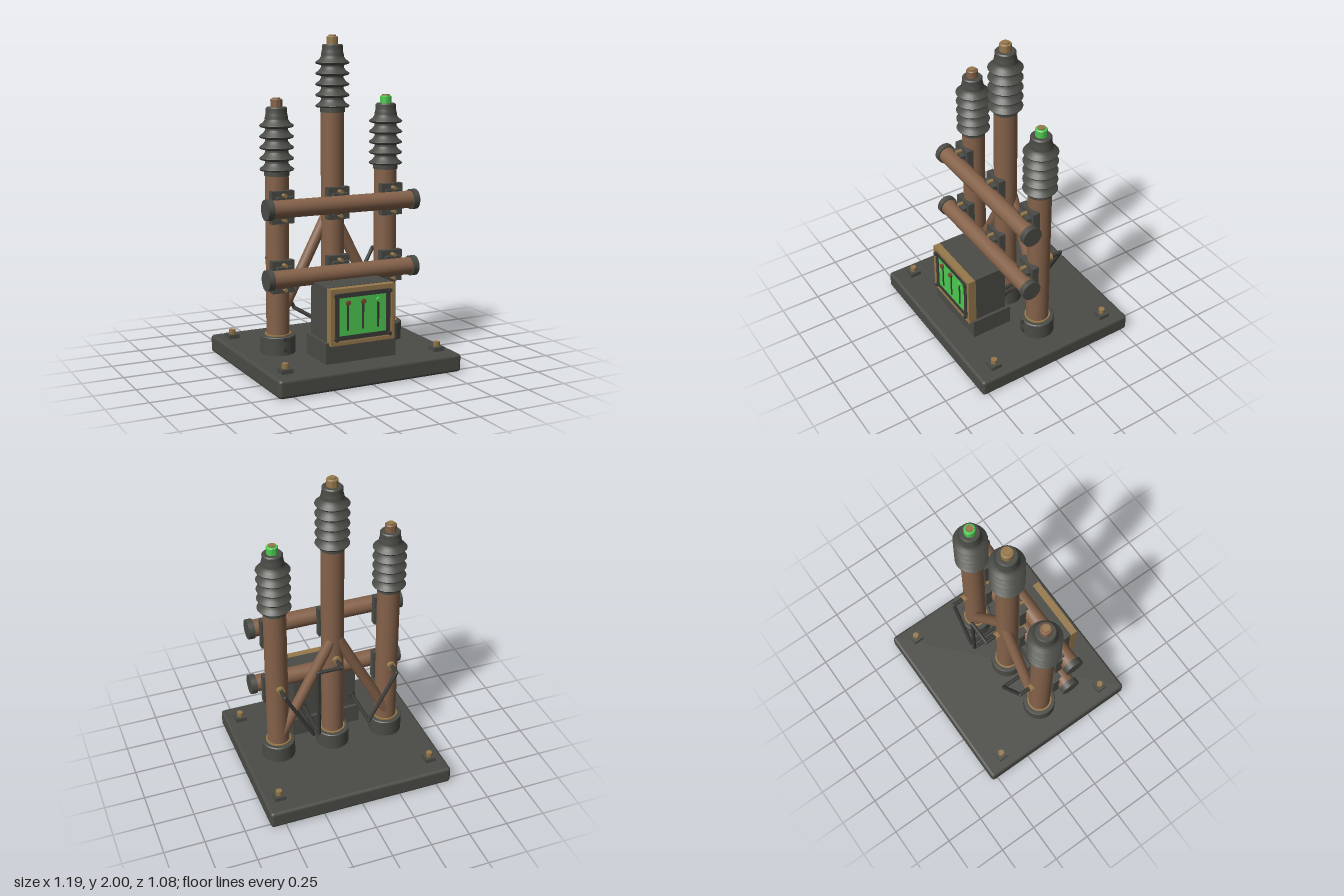
import * as THREE from 'three';
import { toCreasedNormals } from 'three/addons/utils/BufferGeometryUtils.js';
import { RoundedBoxGeometry } from 'three/addons/geometries/RoundedBoxGeometry.js';

const mat = (name, color) => {
  const m = new THREE.MeshStandardMaterial({ color });
  m.name = name;
  return m;
};

export function createModel() {
  const root = new THREE.Group();
  root.name = 'insulatorStation';
  const iron = mat('dark iron', 0x4b4b46);
  const copper = mat('copper brown', 0x85624a);
  const brass = mat('aged brass', 0x97794c);
  const green = mat('bright green', 0x4ecb50);
  const dark = mat('charcoal', 0x3a3a37);
  const rust = mat('rust red', 0x7a4a34);

  const add = (name, geo, material, x = 0, y = 0, z = 0, parent = root) => {
    const m = new THREE.Mesh(geo, material);
    m.name = name;
    m.position.set(x, y, z);
    parent.add(m);
    return m;
  };
  const box = (name, w, h, d, material, x, y, z, parent) =>
    add(name, new THREE.BoxGeometry(w, h, d), material, x, y, z, parent);
  // Cylinder between two points
  const rod = (name, a, b, r, material, sides = 24, parent = root) => {
    const p = new THREE.Vector3(...a), q = new THREE.Vector3(...b);
    const m = add(name, new THREE.CylinderGeometry(r, r, p.distanceTo(q), sides), material, 0, 0, 0, parent);
    m.position.copy(p).add(q).multiplyScalar(0.5);
    m.quaternion.setFromUnitVectors(new THREE.Vector3(0, 1, 0), q.sub(p).normalize());
    return m;
  };
  const lathe = (pts) => toCreasedNormals(
    new THREE.LatheGeometry(pts.map(([r, y]) => new THREE.Vector2(r, y)), 32), 0.6);

  // Base slab with anchor bolts
  add('base', new RoundedBoxGeometry(1.19, 0.11, 1.08, 2, 0.02), iron, 0, 0.055, 0);
  for (const x of [-0.5, 0.5]) for (const z of [-0.405, 0.405]) {
    box('anchorPlate', 0.07, 0.028, 0.07, iron, x, 0.122, z);
    rod('anchorBolt', [x, 0.13, z], [x, 0.165, z], 0.021, brass, 6);
  }

  // Ribbed insulator profile: five drooping sheds between two necks
  const ribs = [[0, 0], [0.075, 0], [0.075, 0.03]];
  for (let i = 0; i < 5; i++) {
    const y = 0.03 + i * 0.064;
    ribs.push([0.097, y], [0.103, y + 0.008], [0.098, y + 0.014], [0.08, y + 0.026], [0.068, y + 0.044], [0.068, y + 0.056]);
  }
  ribs.push([0.064, 0.36], [0.062, 0.37], [0.062, 0.395], [0.056, 0.402], [0, 0.402]);
  const insulator = lathe(ribs);
  const collar = lathe([[0, 0], [0.105, 0], [0.105, 0.105], [0.1, 0.11], [0, 0.11]]);
  const terminal = lathe([[0, 0], [0.035, 0], [0.035, 0.042], [0.03, 0.047], [0, 0.047]]);

  // Three posts
  for (const [x, top, capMat] of [[-0.365, 1.18, copper], [0, 1.54, brass], [0.365, 1.18, green]]) {
    const post = new THREE.Group();
    post.name = 'post';
    post.position.x = x;
    root.add(post);
    add('postCollar', collar, iron, 0, 0.11, 0, post);
    rod('collarRing', [0, 0.215, 0], [0, 0.228, 0], 0.08, brass, 32, post);
    rod('postTube', [0, 0.2, 0], [0, top + 0.01, 0], 0.07, copper, 32, post);
    add('insulator', insulator, iron, 0, top, 0, post);
    add('terminal', terminal, capMat, 0, top + 0.402, 0, post);
    rod('terminalTip', [0, top + 0.44, 0], [0, top + 0.456, 0], 0.022, brass, 16, post);
    for (const y of [0.145, 0.207])
      rod('collarRivet', [0, y, 0.09], [0, y, 0.112], 0.013, dark, 12, post);
    // Clamp plates holding the cross beams
    for (const y of [1.0, 0.585]) {
      box('clampPlate', 0.142, 0.195, 0.045, iron, 0, y, 0.0675, post);
      box('clampSaddle', 0.1, 0.13, 0.04, iron, 0, y, 0.1, post);
      for (const s of [-1, 1])
        rod('clampBolt', [0, y + s * 0.073, 0.08], [0, y + s * 0.073, 0.128], 0.012, brass, 8, post);
    }
  }

  // Cross beams with end caps
  for (const y of [1.0, 0.585]) {
    rod('crossBeam', [-0.485, y, 0.137], [0.485, y, 0.137], 0.053, copper, 32);
    for (const s of [-1, 1])
      rod('beamCap', [s * 0.462, y, 0.137], [s * 0.5, y, 0.137], 0.062, iron, 32);
  }

  // Diagonal braces
  for (const s of [-1, 1])
    rod('brace', [s * 0.02, 0.92, -0.035], [s * 0.35, 0.29, -0.035], 0.034, copper, 20);

  // Conduits running from the backs of the posts to the cabinet
  const conduits = [
    [[-0.365, 0.655, -0.06], [-0.365, 0.655, -0.16], [-0.185, 0.325, -0.16], [-0.185, 0.325, 0.15]],
    [[0, 0.79, -0.06], [0, 0.79, -0.16], [0.15, 0.79, -0.16], [0.15, 0.325, -0.16], [0.15, 0.325, 0.15]],
    [[0.365, 0.655, -0.06], [0.365, 0.655, -0.16], [0.185, 0.325, -0.16], [0.185, 0.325, 0.15]],
  ];
  for (const path of conduits) {
    for (let i = 1; i < path.length; i++) {
      rod('conduit', path[i - 1], path[i], 0.012, dark, 10);
      if (i < path.length - 1) add('conduitElbow', new THREE.SphereGeometry(0.0125, 10, 8), dark, ...path[i]);
    }
    const [x, y] = path[0];
    rod('conduitFitting', [x, y, -0.06], [x, y, -0.092], 0.026, brass, 12);
    const [ex, ey] = path[path.length - 1];
    rod('conduitGland', [ex, ey, 0.118], [ex, ey, 0.14], 0.02, dark, 12);
  }

  // Control cabinet: pedestal and body with a chamfered back edge
  box('pedestal', 0.46, 0.125, 0.265, iron, 0, 0.1725, 0.2475);
  const side = new THREE.Shape();
  [[0.138, 0.22], [0.355, 0.22], [0.355, 0.557], [0.165, 0.557], [0.138, 0.52]]
    .forEach(([z, y], i) => (i ? side.lineTo(-z, y) : side.moveTo(-z, y)));
  const body = new THREE.ExtrudeGeometry(side, { depth: 0.42, bevelEnabled: false });
  body.rotateY(Math.PI / 2);
  add('cabinetBody', body, iron, -0.21, 0, 0);

  // Rectangular ring extruded forward
  const ring = (w, h, t, d) => {
    const rect = (path, a, b) => path.moveTo(-a, -b).lineTo(a, -b).lineTo(a, b).lineTo(-a, b).closePath();
    const shape = rect(new THREE.Shape(), w / 2, h / 2);
    shape.holes.push(rect(new THREE.Path(), w / 2 - t, h / 2 - t));
    return new THREE.ExtrudeGeometry(shape, { depth: d, bevelEnabled: false });
  };
  const cy = 0.388;
  box('frontPanel', 0.422, 0.335, 0.045, brass, 0, cy, 0.3725);
  add('panelRim', ring(0.422, 0.335, 0.022, 0.008), brass, 0, cy, 0.394);
  add('screenFrame', ring(0.36, 0.278, 0.026, 0.009), dark, 0, cy, 0.394);
  box('screen', 0.312, 0.23, 0.005, green, 0, cy, 0.3965);
  for (const x of [-0.175, 0.175]) for (const y of [0.257, 0.517])
    rod('frameScrew', [x, y, 0.39], [x, y, 0.416], 0.012, dark, 10);

  // Gauges: dark bar with a coloured knob
  for (const [x, m] of [[-0.1, rust], [0, rust], [0.1, green]]) {
    box('gaugeBar', 0.012, 0.165, 0.005, dark, x, 0.387, 0.4005);
    rod('gaugeKnob', [x, 0.47, 0.395], [x, 0.47, 0.416], 0.014, m, 12);
  }
  return root;
}
